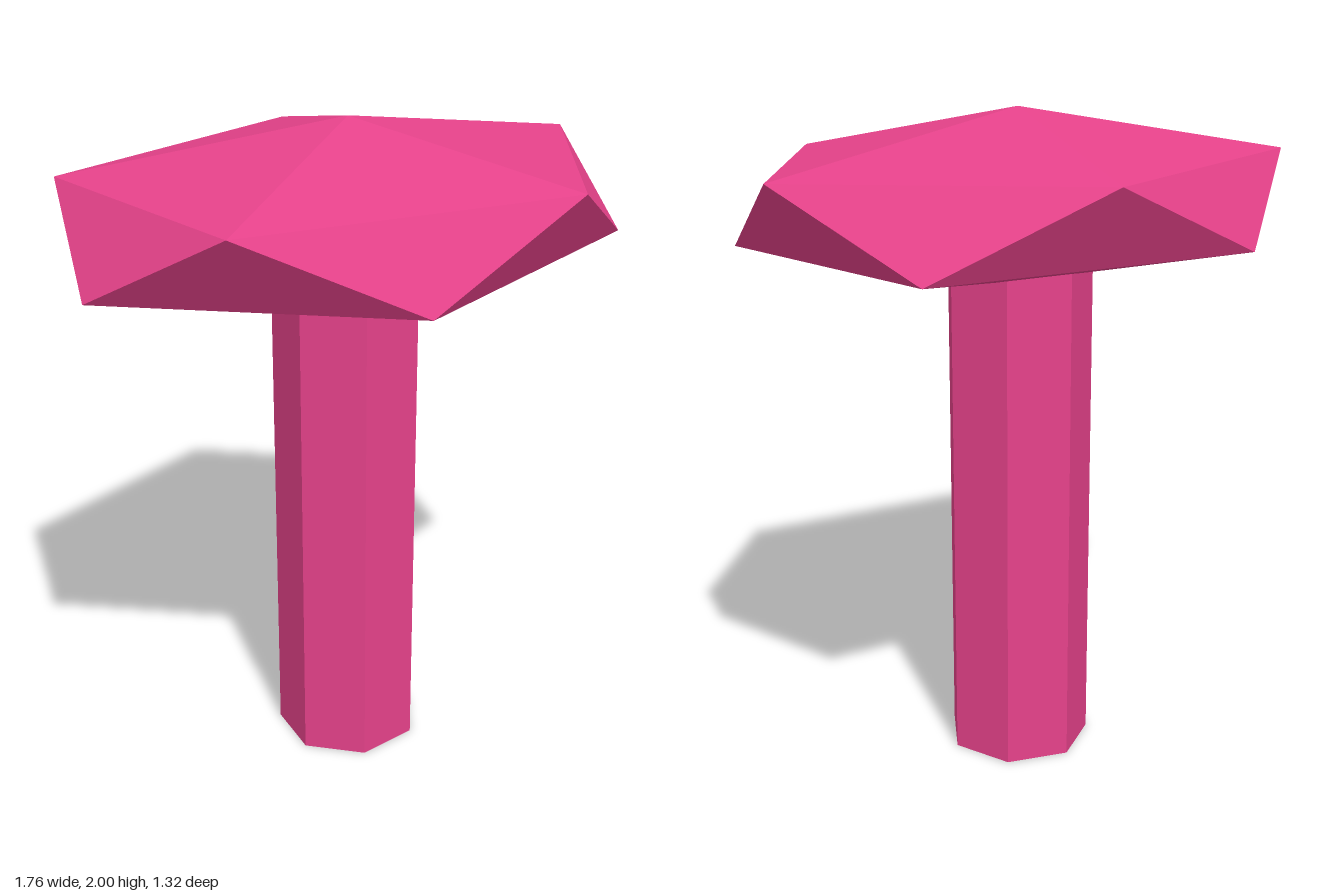
import * as THREE from 'three';

// Squashed twenty-sided cap: two offset five-point rings between two apexes
function capGeometry() {
  const ring = (y, offset) => Array.from({ length: 5 }, (_, i) => {
    const a = (i + offset) * Math.PI * 2 / 5;
    return new THREE.Vector3(0.88 * Math.cos(a), y, 0.696 * Math.sin(a));
  });
  const upper = ring(1.86, 0);
  const lower = ring(1.63, 0.5);
  const top = new THREE.Vector3(0, 2, 0);
  const bottom = new THREE.Vector3(0, 1.49, 0);
  const points = [];
  for (let i = 0; i < 5; i++) {
    const j = (i + 1) % 5;
    points.push(
      top, upper[j], upper[i],
      upper[i], upper[j], lower[i],
      lower[j], lower[i], upper[j],
      bottom, lower[i], lower[j]
    );
  }
  const geometry = new THREE.BufferGeometry().setFromPoints(points);
  geometry.computeVertexNormals();
  return geometry;
}

export function createModel() {
  const group = new THREE.Group();
  group.name = 'mushroom';
  const pink = new THREE.MeshStandardMaterial({ color: 0xe6428a, flatShading: true });
  pink.name = 'pink';

  // Seven-sided stem, flat side to the front, sunk into the cap
  const stem = new THREE.Mesh(
    new THREE.CylinderGeometry(0.225, 0.225, 1.58, 7, 1, false, Math.PI), pink);
  stem.position.y = 0.79;
  stem.name = 'stem';

  const cap = new THREE.Mesh(capGeometry(), pink);
  cap.name = 'cap';

  group.add(stem, cap);
  return group;
}
